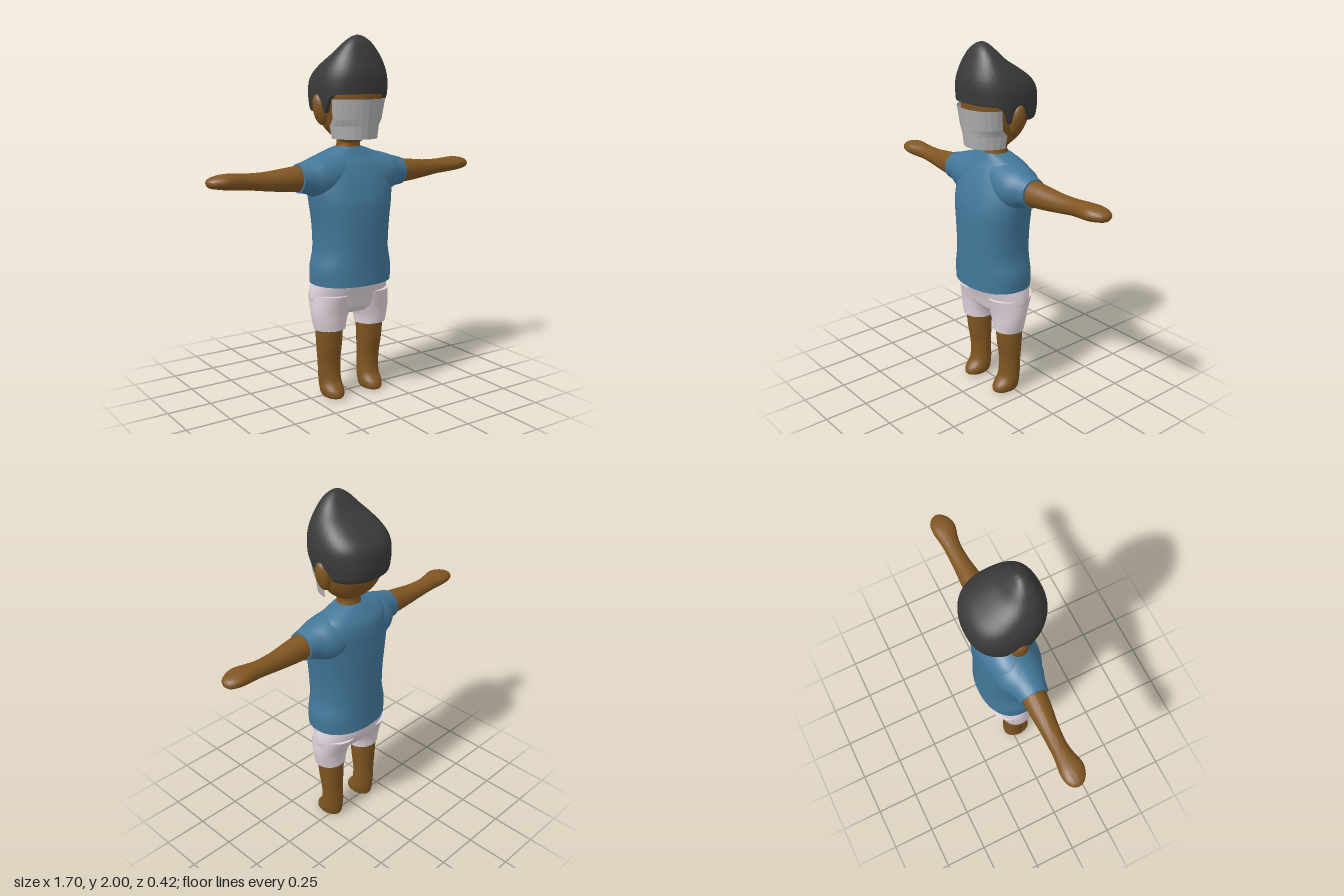
import * as THREE from 'three';
import { toCreasedNormals } from 'three/addons/utils/BufferGeometryUtils.js';

const material = (name, color, side = THREE.FrontSide) => {
  const m = new THREE.MeshStandardMaterial({ color, side });
  m.name = name;
  return m;
};

// Smooth (Catmull-Rom) interpolation between rows of numbers
function smoothRows(rows, steps) {
  const out = [];
  const last = rows.length - 1;
  for (let k = 0; k < last; k++) {
    const [a, b, c, d] = [k - 1, k, k + 1, k + 2].map((i) => rows[Math.min(last, Math.max(0, i))]);
    for (let s = 0; s < steps; s++) {
      const t = s / steps;
      out.push(b.map((_, i) => b[i] + 0.5 * t * (c[i] - a[i]
        + t * (2 * a[i] - 5 * b[i] + 4 * c[i] - d[i] + t * (3 * (b[i] - c[i]) + d[i] - a[i])))));
    }
  }
  out.push(rows[last]);
  return out;
}

// Closed loft upwards through rows of [y, xMin, xMax, zMin, zMax]; power < 1 squares the rings
function loft(rows, { steps = 5, sides = 40, power = 1, warp } = {}) {
  const rings = smoothRows(rows, steps);
  const pos = [];
  const index = [];
  const bend = (v) => Math.sign(v) * Math.abs(v) ** power;
  rings.forEach(([y, x0, x1, z0, z1]) => {
    for (let i = 0; i < sides; i++) {
      const a = (i / sides) * Math.PI * 2;
      pos.push((x0 + x1) / 2 + bend(Math.cos(a)) * (x1 - x0) / 2,
        warp ? warp(y, a) : y,
        (z0 + z1) / 2 + bend(Math.sin(a)) * (z1 - z0) / 2);
    }
  });
  for (let j = 0; j < rings.length - 1; j++) {
    for (let i = 0; i < sides; i++) {
      const a = j * sides + i, b = j * sides + (i + 1) % sides;
      index.push(a, a + sides, b, b, a + sides, b + sides);
    }
  }
  // end caps
  const top = (rings.length - 1) * sides;
  const centre = pos.length / 3;
  for (const [y, x0, x1, z0, z1] of [rings[0], rings[rings.length - 1]]) {
    pos.push((x0 + x1) / 2, y, (z0 + z1) / 2);
  }
  for (let i = 0; i < sides; i++) {
    const n = (i + 1) % sides;
    index.push(centre, i, n, centre + 1, top + n, top + i);
  }
  const geo = new THREE.BufferGeometry();
  geo.setAttribute('position', new THREE.Float32BufferAttribute(pos, 3));
  geo.setIndex(index);
  return toCreasedNormals(geo, 0.9);
}

// Rows symmetric about x = 0: [y, halfWidth, zMin, zMax]
const centred = (rows) => rows.map(([y, w, z0, z1]) => [y, -w, w, z0, z1]);
// Rows on one side of the body: [y, inner x, outer x, zMin, zMax]
const sided = (rows, s) => rows.map(([y, i, o, z0, z1]) => (s > 0 ? [y, i, o, z0, z1] : [y, -o, -i, z0, z1]));
// Loft outwards along x through rows of [x, yMin, yMax, zMin, zMax]
const sideways = (rows, s) => loft(rows.map(([x, y0, y1, z0, z1]) => (
  s > 0 ? [x, -y1, -y0, z0, z1] : [x, y0, y1, z0, z1]))).rotateZ(-s * Math.PI / 2);

// Height of the hair edge by angle from the front: fringe, sideburn, ear notch, nape
const HAIRLINE = [[0, 1.695], [0.95, 1.69], [1.15, 1.66], [1.28, 1.59], [1.42, 1.61], [1.66, 1.67], [1.85, 1.6], [3.2, 1.6]];
function hairline(a) {
  const phi = Math.acos(Math.max(-1, Math.min(1, Math.sin(a))));
  const k = Math.max(1, HAIRLINE.findIndex(([p]) => p >= phi));
  const [p0, y0] = HAIRLINE[k - 1], [p1, y1] = HAIRLINE[k];
  return y0 + (y1 - y0) * (phi - p0) / (p1 - p0);
}

// Thin faceted sheet bent around the lower face: rows of [y, halfWidth, front z, edge z]
function maskGeometry() {
  const rows = [[1.455, 0.133, 0.184, 0.045], [1.525, 0.144, 0.191, 0.04], [1.56, 0.149, 0.195, 0.075], [1.667, 0.163, 0.207, 0.09]];
  const n = 12;
  const pos = [];
  const index = [];
  rows.forEach(([y, w, front, edge], j) => {
    for (let i = 0; i <= n; i++) {
      const a = (i / n - 0.5) * Math.PI;
      pos.push(w * Math.sin(a), y, edge + (front - edge) * Math.cos(a));
      if (j < rows.length - 1 && i < n) {
        const p = j * (n + 1) + i, q = p + n + 1;
        index.push(p, p + 1, q, q, p + 1, q + 1);
      }
    }
  });
  const geo = new THREE.BufferGeometry();
  geo.setAttribute('position', new THREE.Float32BufferAttribute(pos, 3));
  geo.setIndex(index);
  const flat = geo.toNonIndexed();
  flat.computeVertexNormals();
  return flat;
}

export function createModel() {
  const model = new THREE.Group();
  model.name = 'figure';
  const skin = material('brown skin', 0x805521);
  const hairMat = material('charcoal hair', 0x3a3a3a);
  const shirt = material('blue shirt', 0x427799);
  const shorts = material('pale shorts', 0xdfd3db);
  const maskMat = material('grey mask', 0xb0b0b0, THREE.DoubleSide);

  const add = (name, geo, mat) => {
    const mesh = new THREE.Mesh(geo, mat);
    mesh.name = name;
    model.add(mesh);
    return mesh;
  };

  // Head and neck
  add('head', loft(centred([
    [1.43, 0.05, -0.04, 0.07], [1.46, 0.09, -0.08, 0.12], [1.51, 0.132, -0.135, 0.15],
    [1.58, 0.16, -0.175, 0.173], [1.65, 0.177, -0.187, 0.187], [1.72, 0.18, -0.187, 0.187],
    [1.8, 0.14, -0.13, 0.15], [1.86, 0.03, -0.02, 0.05],
  ])), skin);
  add('neck', loft(centred([
    [1.36, 0.085, -0.07, 0.075], [1.41, 0.068, -0.062, 0.066], [1.44, 0.066, -0.06, 0.066], [1.5, 0.08, -0.07, 0.075],
  ])), skin);

  // Hair swept up to a peak above the forehead
  add('hair', loft(centred([
    [1.58, 0.175, -0.183, 0.175], [1.61, 0.193, -0.2, 0.187], [1.65, 0.2, -0.207, 0.195], [1.7, 0.205, -0.208, 0.2],
    [1.76, 0.202, -0.2, 0.205], [1.81, 0.188, -0.165, 0.202], [1.86, 0.162, -0.095, 0.188],
    [1.91, 0.125, -0.015, 0.168], [1.96, 0.08, 0.035, 0.145], [1.99, 0.038, 0.065, 0.118], [2, 0.008, 0.085, 0.098],
  ]), { sides: 96, power: 0.85, warp: (y, a) => Math.max(y, hairline(a)) }), hairMat);

  add('faceMask', maskGeometry(), maskMat);

  // Shirt body
  add('shirtBody', loft(centred([
    [0.66, 0.236, -0.157, 0.2], [0.75, 0.237, -0.155, 0.199], [0.85, 0.217, -0.153, 0.2], [0.98, 0.222, -0.153, 0.202],
    [1.1, 0.24, -0.153, 0.198], [1.18, 0.252, -0.15, 0.18], [1.26, 0.25, -0.147, 0.152], [1.32, 0.235, -0.135, 0.122],
    [1.36, 0.2, -0.11, 0.095], [1.39, 0.13, -0.085, 0.078], [1.408, 0.075, -0.068, 0.068],
  ]), { power: 0.9 }), shirt);

  // Hips of the shorts
  add('shortsHips', loft(centred([
    [0.49, 0.16, -0.05, 0.09], [0.52, 0.22, -0.085, 0.115], [0.56, 0.244, -0.118, 0.127],
    [0.61, 0.246, -0.136, 0.143], [0.69, 0.228, -0.14, 0.172],
  ])), shorts);

  for (const s of [1, -1]) {
    const side = s > 0 ? 'left' : 'right';

    // Ear, leaning outwards at the top
    const ear = add(`${side}Ear`, new THREE.SphereGeometry(1, 24, 16), skin);
    ear.scale.set(0.034, 0.085, 0.045);
    ear.position.set(s * 0.183, 1.61, 0.005);
    ear.rotation.z = -s * 0.22;

    add(`${side}Sleeve`, sideways([
      [0.08, 1.12, 1.395, -0.13, 0.13], [0.16, 1.12, 1.378, -0.125, 0.135], [0.22, 1.135, 1.364, -0.112, 0.13],
      [0.28, 1.165, 1.345, -0.075, 0.11], [0.335, 1.175, 1.33, -0.058, 0.1],
    ], s), shirt);

    // Arm with a mitten hand
    add(`${side}Arm`, sideways([
      [0.3, 1.182, 1.325, -0.05, 0.09], [0.4, 1.187, 1.315, -0.046, 0.08], [0.52, 1.2, 1.302, -0.04, 0.062],
      [0.62, 1.213, 1.3, -0.04, 0.055], [0.68, 1.218, 1.304, -0.043, 0.062], [0.75, 1.225, 1.307, -0.053, 0.078],
      [0.8, 1.232, 1.3, -0.05, 0.068], [0.835, 1.24, 1.288, -0.032, 0.045], [0.85, 1.255, 1.275, -0.008, 0.02],
    ], s), skin);

    add(`${side}ShortsLeg`, loft(sided([
      [0.4, 0.045, 0.226, -0.066, 0.106], [0.45, 0.037, 0.238, -0.07, 0.11],
      [0.51, 0.015, 0.246, -0.085, 0.117], [0.6, 0.0, 0.242, -0.13, 0.138],
    ], s)), shorts);

    // Leg ending in a small rounded foot
    add(`${side}Leg`, loft(sided([
      [0, 0.095, 0.165, -0.025, 0.09], [0.012, 0.075, 0.185, -0.044, 0.117], [0.045, 0.067, 0.194, -0.05, 0.112],
      [0.1, 0.066, 0.196, -0.052, 0.072], [0.2, 0.067, 0.201, -0.05, 0.065], [0.3, 0.062, 0.21, -0.055, 0.08],
      [0.43, 0.056, 0.218, -0.06, 0.092],
    ], s)), skin);
  }
  return model;
}
